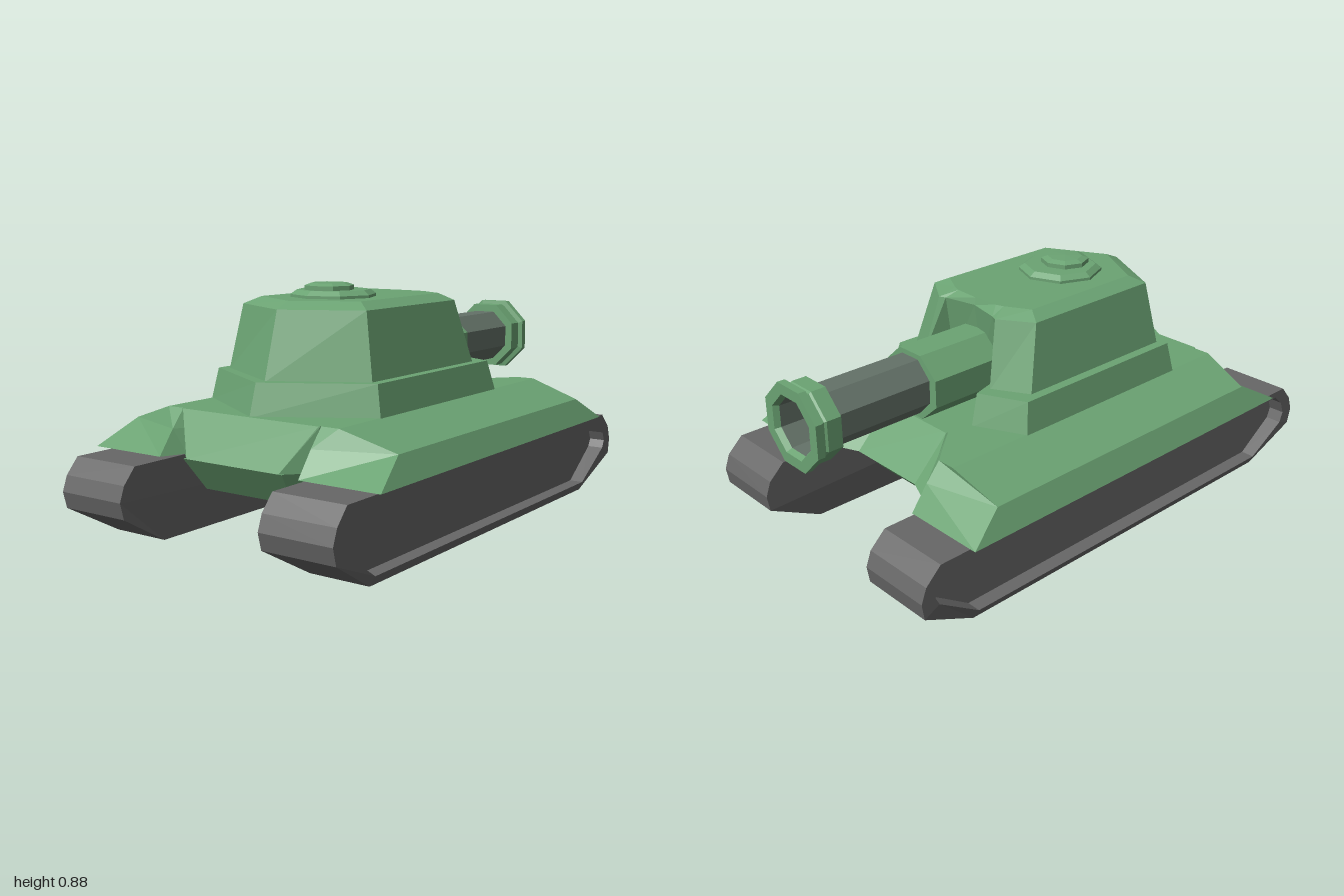
import * as THREE from 'three';

const paint = (name, color) => {
  const m = new THREE.MeshStandardMaterial({ color, flatShading: true });
  m.name = name;
  return m;
};

// Joins equal-length rings of [x, y, z] points along +y or +x and caps both ends.
function loft(rings, axis = 'y') {
  const flat = ring => ring.map(([x, y, z]) => axis === 'y' ? new THREE.Vector2(x, -z) : new THREE.Vector2(y, z));
  if (THREE.ShapeUtils.area(flat(rings[0])) < 0) rings = rings.map(r => [...r].reverse());
  const pos = [];
  const tri = (a, b, c) => pos.push(...a, ...b, ...c);
  const n = rings[0].length;
  for (let k = 0; k < rings.length - 1; k++) {
    const lo = rings[k], hi = rings[k + 1];
    for (let i = 0; i < n; i++) {
      const j = (i + 1) % n;
      tri(lo[i], lo[j], hi[j]);
      tri(lo[i], hi[j], hi[i]);
    }
  }
  const first = rings[0], last = rings[rings.length - 1];
  for (const [a, b, c] of THREE.ShapeUtils.triangulateShape(flat(first), [])) tri(first[a], first[c], first[b]);
  for (const [a, b, c] of THREE.ShapeUtils.triangulateShape(flat(last), [])) tri(last[a], last[b], last[c]);
  const g = new THREE.BufferGeometry();
  g.setAttribute('position', new THREE.Float32BufferAttribute(pos, 3));
  g.computeVertexNormals();
  return g;
}

// Reflects a non-indexed geometry across x = 0, keeping faces outward.
function mirrorX(geometry) {
  const p = geometry.attributes.position, out = [];
  for (let i = 0; i < p.count; i += 3)
    for (const k of [i, i + 2, i + 1]) out.push(-p.getX(k), p.getY(k), p.getZ(k));
  const g = new THREE.BufferGeometry();
  g.setAttribute('position', new THREE.Float32BufferAttribute(out, 3));
  g.computeVertexNormals();
  return g;
}

const level = (y, pts) => pts.map(([x, z]) => [x, y, z]);
// Level ring from its +x half, mirrored.
const symmetric = (y, half) =>
  level(y, [...half, ...half.filter(p => p[0] > 0).reverse().map(([x, z]) => [-x, z])]);

export function createModel() {
  const green = paint('green armour', 0x6ba373);
  const grey = paint('track grey', 0x676767);
  const steel = paint('barrel steel', 0x647268);
  const model = new THREE.Group();
  model.name = 'tank';

  const add = (name, geometry, material, parent = model) => {
    const mesh = new THREE.Mesh(geometry, material);
    mesh.name = name;
    parent.add(mesh);
    return mesh;
  };
  const addPair = (name, geometry, material) => {
    add('left' + name, geometry, material);
    add('right' + name, mirrorX(geometry), material);
  };

  // Tracks: chamfered outline with a recessed outer side
  const outline = [[0.78, 0], [-0.72, 0], [-0.94, 0.12], [-0.95, 0.18], [-0.93, 0.235],
    [-0.87, 0.292], [0.93, 0.292], [0.98, 0.235], [1, 0.18], [0.985, 0.12]];
  const recess = [[0.775, 0.035], [-0.71, 0.035], [-0.88, 0.15], [-0.895, 0.18], [-0.88, 0.215],
    [-0.84, 0.268], [0.88, 0.268], [0.925, 0.23], [0.945, 0.18], [0.93, 0.14]];
  const trackRing = (pts, x) => pts.map(([z, y]) => [x(y), y, z]);
  addPair('Track', loft([
    trackRing(outline, y => y < 0.01 ? 0.32 : 0.296),
    trackRing(outline, y => y < 0.01 ? 0.55 : 0.577),
    trackRing(recess, y => y < 0.1 ? 0.568 : 0.577),
    trackRing(recess, () => 0.515),
  ], 'x'), grey);

  // Fenders: sloped outward, with both outer corners cut back
  addPair('Fender', loft([
    level(0.303, [[0.612, 0.81], [0.612, -0.76], [0.3, -0.76], [0.22, -0.62], [0.17, 0.6], [0.26, 0.72], [0.3, 0.81]]),
    level(0.39, [[0.568, 0.65], [0.568, -0.625], [0.3, -0.695], [0.2, -0.56], [0.17, 0.6], [0.28, 0.71], [0.3, 0.745]]),
    level(0.455, [[0.37, 0.69], [0.37, -0.64], [0.3, -0.64], [0.17, -0.49], [0.17, 0.6], [0.29, 0.685], [0.3, 0.69]]),
  ]), green);

  // Central hull with a tapered belly
  add('belly', loft([
    symmetric(0.185, [[0.19, 0.7], [0.19, -0.52]]),
    symmetric(0.303, [[0.215, 0.785], [0.215, -0.62]]),
  ]), green);
  add('hullDeck', loft([
    symmetric(0.303, [[0.2, 0.785], [0.26, 0.73], [0.26, -0.68], [0.16, -0.637]]),
    symmetric(0.455, [[0.295, 0.698], [0.3, 0.695], [0.17, -0.5], [0.15, -0.5]]),
  ]), green);

  // Turret: pointed front, notched around the gun at the rear
  add('turretBase', loft([
    symmetric(0.45, [[0, 0.69], [0.375, 0.465], [0.375, -0.31], [0.19, -0.4], [0.15, -0.26]]),
    symmetric(0.565, [[0, 0.655], [0.352, 0.45], [0.352, -0.285], [0.18, -0.365], [0.14, -0.23]]),
  ]), green);
  add('turret', loft([
    symmetric(0.56, [[0, 0.61], [0.317, 0.43], [0.317, -0.235], [0.185, -0.31], [0.135, -0.2], [0, -0.18]]),
    symmetric(0.8, [[0, 0.54], [0.272, 0.4], [0.272, -0.17], [0.15, -0.25], [0.125, -0.24], [0, -0.212]]),
    symmetric(0.826, [[0, 0.48], [0.22, 0.36], [0.22, -0.14], [0.13, -0.19], [0.1, -0.2], [0, -0.205]]),
  ]), green);

  // Hatch on the turret roof
  const hatch = new THREE.Group();
  hatch.name = 'hatch';
  hatch.position.z = 0.22;
  model.add(hatch);
  const disc = (name, profile, z) => {
    const g = new THREE.LatheGeometry(profile.map(([r, y]) => new THREE.Vector2(r, y)), 8);
    add(name, g, green, hatch).position.z = z;
  };
  disc('hatchRing', [[0.156, 0.82], [0.156, 0.836], [0.134, 0.852], [0, 0.852]], 0);
  disc('hatchLid', [[0.09, 0.85], [0.09, 0.868], [0.065, 0.877], [0, 0.879]], 0.025);

  // Gun: octagonal lathes along the rear axis, profile points are [apothem, distance]
  const gun = new THREE.Group();
  gun.name = 'gun';
  gun.position.y = 0.59;
  gun.rotation.x = -Math.PI / 2;
  model.add(gun);
  const gunPart = (name, profile, material) => {
    const pts = profile.map(([r, d]) => new THREE.Vector2(r / Math.cos(Math.PI / 8), d));
    const g = new THREE.LatheGeometry(pts, 8);
    g.rotateY(Math.PI / 8);
    return add(name, g, material, gun);
  };
  gunPart('mantlet', [[0, 0.15], [0.12, 0.15], [0.12, 0.51], [0, 0.51]], green).scale.x = 1.12;
  gunPart('barrel', [[0.102, 0.5], [0.102, 0.91]], steel);
  gunPart('muzzle', [[0.1, 0.895], [0.132, 0.895], [0.132, 0.95], [0.126, 0.957], [0.126, 0.968],
    [0.144, 0.972], [0.144, 1], [0.105, 1], [0.095, 0.98]], green);
  gunPart('bore', [[0.095, 0.98], [0.09, 0.7], [0, 0.7]], steel);

  return model;
}
